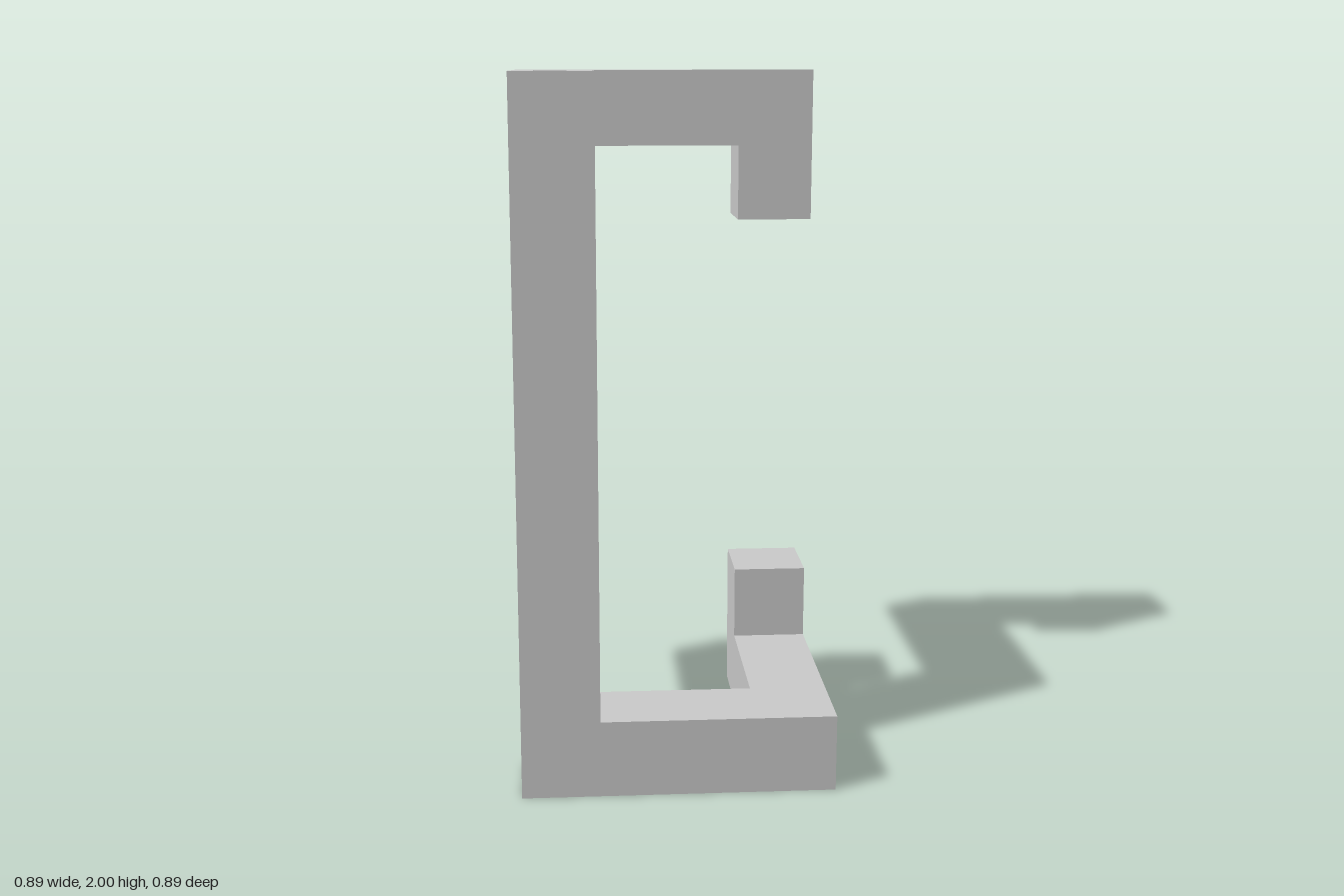
import * as THREE from 'three';

const U = 2 / 9;      // bar thickness
const H = 2 * U;      // half of the footprint
const T = 0.004;      // wall thickness of the hollow column
const CORE = 0.0525;  // half width of the stair core
const LANE = U / 2 - T - CORE; // stair width
const STEPS = 9;

export function createModel() {
  const model = new THREE.Group();
  const material = new THREE.MeshStandardMaterial({ color: 0xcccccc, flatShading: true });

  // Box given by its lower and upper corners
  const block = (name, [x0, y0, z0], [x1, y1, z1], parent = model) => {
    const mesh = new THREE.Mesh(new THREE.BoxGeometry(x1 - x0, y1 - y0, z1 - z0), material);
    mesh.position.set((x0 + x1) / 2, (y0 + y1) / 2, (z0 + z1) / 2);
    mesh.name = name;
    parent.add(mesh);
    return mesh;
  };

  // Lower hook: front bar, side bar, upright end
  block('lowerFrontBar', [-H, 0, U], [H, U, H]);
  block('lowerSideBar', [U, 0, -U], [H, U, U]);
  block('lowerEndPost', [U, 0, -H], [H, 2 * U, -U]);

  // Middle arm
  block('middleArm', [-H, 3 * U, -H], [-U, 4 * U, U]);

  // Upper hook: side bar, back bar, hanging end
  block('upperSideBar', [-H, 8 * U, -U], [-U, 2, U]);
  block('upperBackBar', [-H, 8 * U, -H], [U, 2, -U]);
  block('upperEndPost', [U, 7 * U, -H], [H, 2, -U]);

  // Hollow column with a doorway above the lower bar and one above the middle arm
  const column = new THREE.Group();
  column.name = 'column';
  model.add(column);
  const door = 0.205;
  block('frontWall', [-H, U, H - T], [-U, 2, H], column);
  block('outerWall', [-H, U, U], [-H + T, 2, H - T], column);
  block('innerWall', [-U - T, U + door, U], [-U, 2, H - T], column);
  block('backWallLower', [-H + T, U, U], [-U - T, 4 * U, U + T], column);
  block('backWallUpper', [-H + T, 4 * U + door, U], [-U - T, 2, U + T], column);

  // Column roof, leaving the stair exit open along the front wall
  block('roof', [-H + T, 2 - T, U + T], [-U - T, 2, 0.385], column);
  block('roofCorner', [-H + T, 2 - T, 0.385], [-0.378, 2, H - T], column);

  // Square spiral stair around a solid core
  const stair = new THREE.Group();
  stair.name = 'spiralStair';
  stair.position.set(-1.5 * U, 0, 1.5 * U);
  model.add(stair);
  block('core', [-CORE, U, -CORE], [CORE, 2 - T, CORE], stair);

  // One flight: stepped top, sloping underside
  const flightGeometry = (rise) => {
    const slab = 0.04, run = 2 * CORE;
    const shape = new THREE.Shape();
    shape.moveTo(0, -slab);
    shape.lineTo(0, 0);
    for (let i = 0; i < STEPS; i++) {
      shape.lineTo((i * run) / STEPS, ((i + 1) * rise) / STEPS);
      shape.lineTo(((i + 1) * run) / STEPS, ((i + 1) * rise) / STEPS);
    }
    shape.lineTo(run, rise - slab);
    shape.closePath();
    return new THREE.ExtrudeGeometry(shape, { depth: LANE, bevelEnabled: false })
      .rotateY(Math.PI / 2)
      .translate(CORE, 0, CORE);
  };

  // Each flight turns a quarter round the core and ends on a corner landing
  let turn = 0;
  const climb = (from, to, count) => {
    const rise = (to - from) / count;
    const geometry = flightGeometry(rise);
    for (let i = 0; i < count; i++, turn++) {
      const flight = new THREE.Group();
      flight.name = 'flight';
      flight.position.y = from + i * rise;
      flight.rotation.y = (turn * Math.PI) / 2;
      const steps = new THREE.Mesh(geometry, material);
      steps.name = 'steps';
      flight.add(steps);
      block('landing', [CORE, rise - 0.04, -CORE - LANE], [CORE + LANE, rise, -CORE], flight);
      stair.add(flight);
    }
  };
  climb(U, 4 * U, 5);
  climb(4 * U, 2, 11);

  return model;
}
